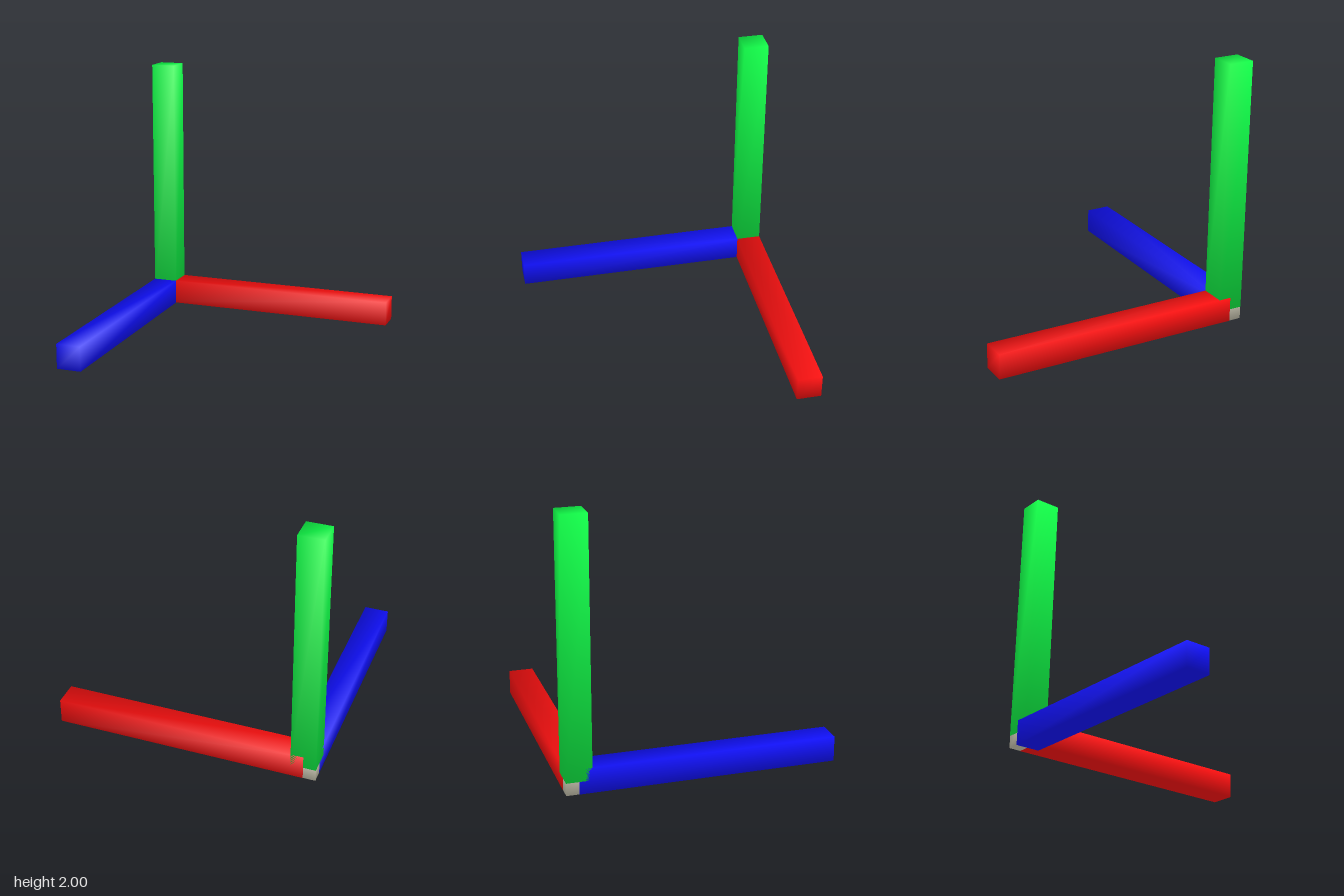
import * as THREE from 'three';

const WIDTH = 0.19;
const CENTRE = -1 + WIDTH / 2; // middle of the corner block on x and z

// Box whose normals point out through its corners, giving soft shading across the faces
function softBox(name, size, position, color) {
  const geometry = new THREE.BoxGeometry(...size);
  const corner = new THREE.Vector3();
  const { position: points, normal: normals } = geometry.attributes;
  for (let i = 0; i < points.count; i++) {
    corner.fromBufferAttribute(points, i);
    corner.set(Math.sign(corner.x), Math.sign(corner.y), Math.sign(corner.z)).normalize();
    normals.setXYZ(i, corner.x, corner.y, corner.z);
  }
  const mesh = new THREE.Mesh(geometry, new THREE.MeshStandardMaterial({ color }));
  mesh.name = name;
  mesh.position.set(...position);
  return mesh;
}

export function createModel() {
  const group = new THREE.Group();
  group.name = 'axisTripod';
  const origin = [CENTRE, WIDTH / 2, CENTRE];

  // Corner block, a hair smaller than the bars so they cover it cleanly
  const block = WIDTH - 0.002;
  group.add(softBox('cornerBlock', [block, block, block], origin, 0xccc8b4));

  // Three square bars from the middle of the block, one along each axis
  const length = 2 - WIDTH / 2;
  const bars = [['xAxisBar', 0xff1010], ['yAxisBar', 0x10ff48], ['zAxisBar', 0x1010ff]];
  bars.forEach(([name, color], axis) => {
    const size = [WIDTH, WIDTH, WIDTH];
    const position = [...origin];
    size[axis] = length;
    position[axis] += length / 2;
    group.add(softBox(name, size, position, color));
  });
  return group;
}
